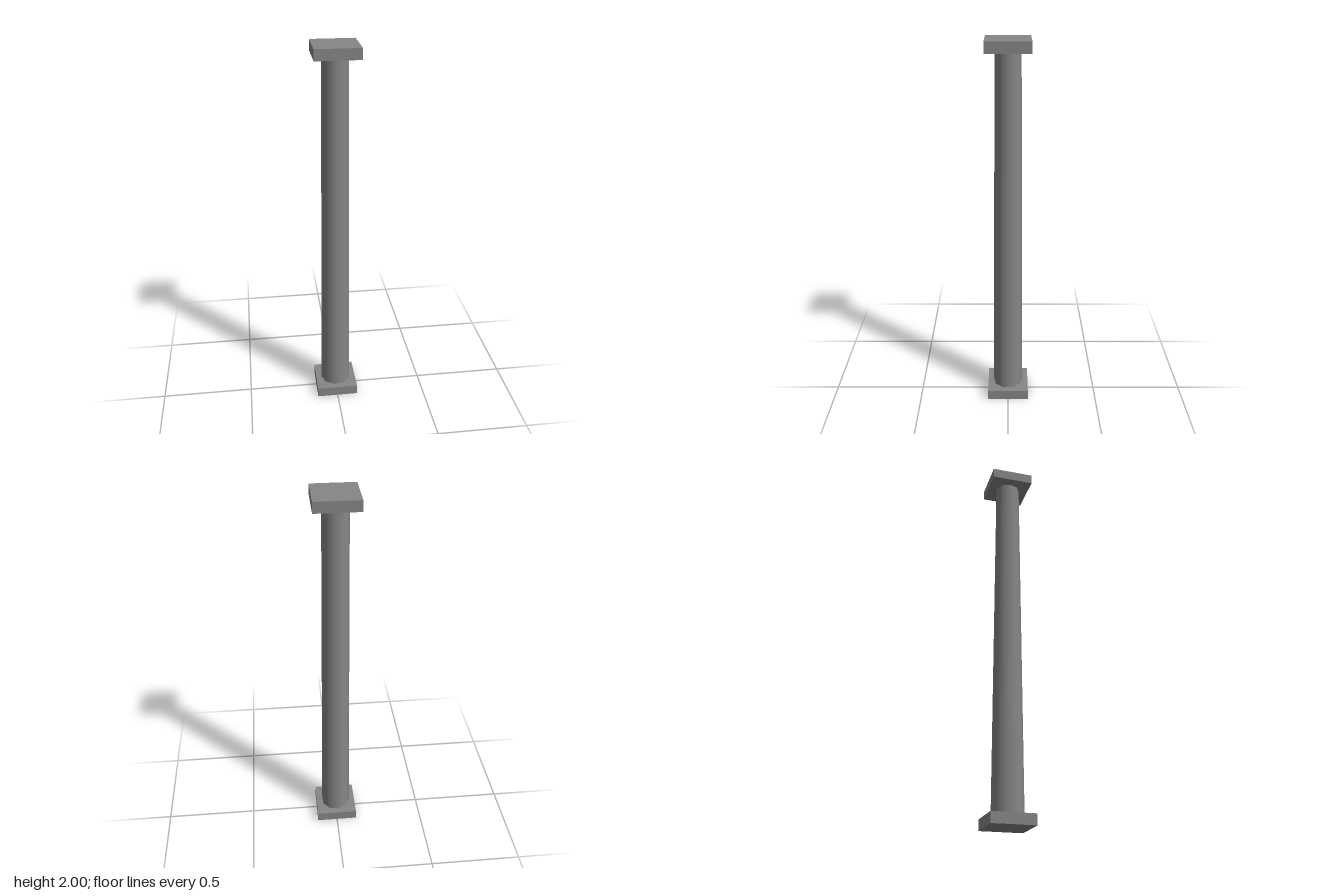
import * as THREE from 'three';

const material = new THREE.MeshStandardMaterial({ color: 0x868686 });

// Tapered shaft with shallow V flutes: every other edge is drawn inwards,
// and the cylinder's own normals keep the shading round
function flutedShaft(topRadius, bottomRadius, height, flutes, valley) {
  const geometry = new THREE.CylinderGeometry(
    topRadius, bottomRadius, height, flutes * 2, 1, true, -Math.PI / 2);
  const p = geometry.attributes.position;
  const perRow = flutes * 2 + 1;
  for (let i = 0; i < p.count; i++) {
    const s = (i % perRow) % 2 === 0 ? 1 : valley;
    p.setXYZ(i, p.getX(i) * s, p.getY(i), p.getZ(i) * s);
  }
  return geometry;
}

export function createModel() {
  const column = new THREE.Group();
  column.name = 'column';

  const add = (name, geometry, y) => {
    const mesh = new THREE.Mesh(geometry, material);
    mesh.name = name;
    mesh.position.y = y;
    column.add(mesh);
  };

  // Square slabs at both ends
  const slabWidth = 0.227, slabHeight = 0.055;
  const slab = new THREE.BoxGeometry(slabWidth, slabHeight, slabWidth);
  add('plinth', slab, slabHeight / 2);
  add('capital', slab, 2 - slabHeight / 2);

  // Shaft between them
  add('shaft', flutedShaft(0.067, 0.083, 2 - 2 * slabHeight, 9, 0.92), 1);

  return column;
}
